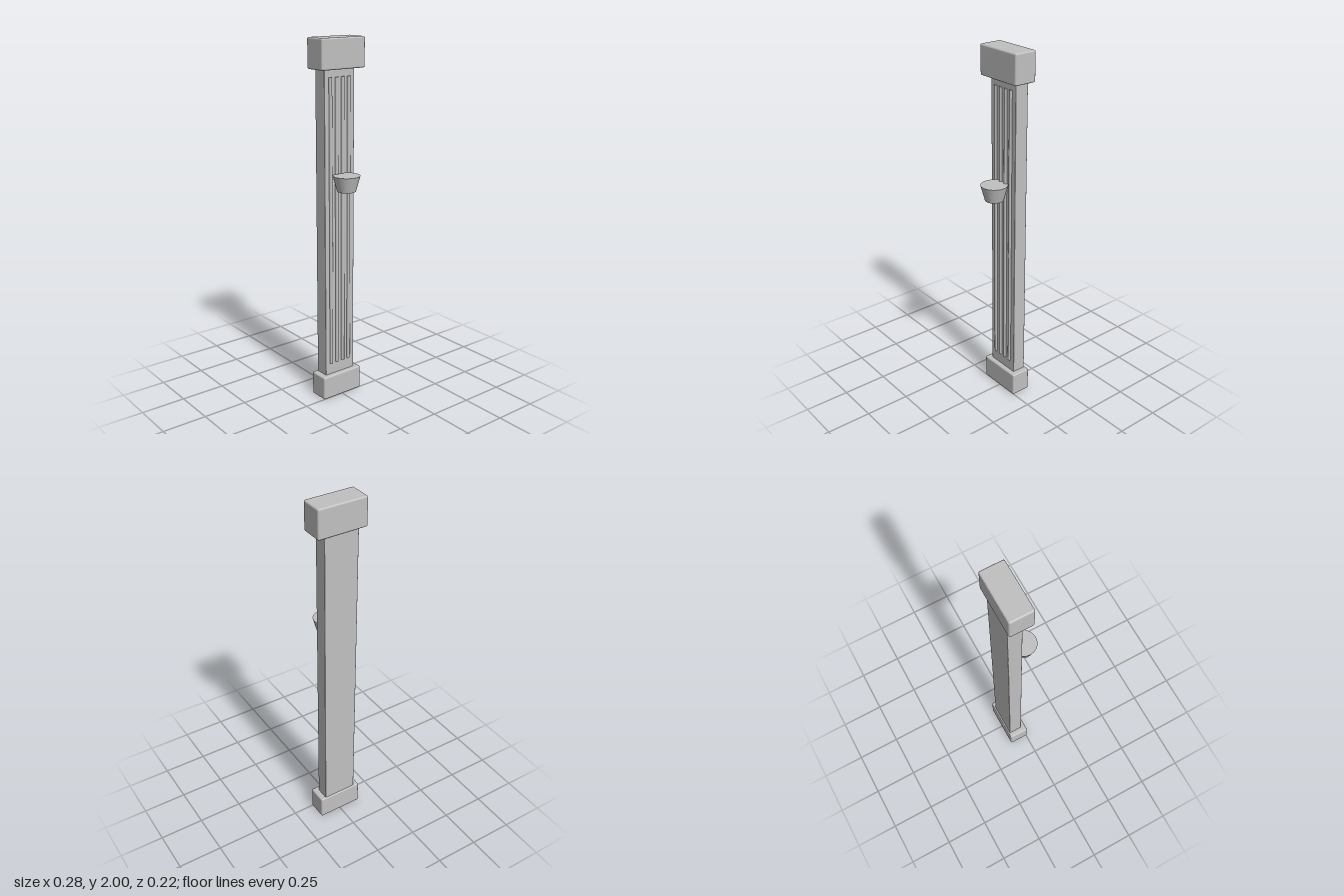
import * as THREE from 'three';
import { RoundedBoxGeometry } from 'three/addons/geometries/RoundedBoxGeometry.js';

export function createModel() {
  const group = new THREE.Group();
  group.name = 'pilaster';
  const stone = new THREE.MeshStandardMaterial({ color: 0xc0c0c0 });
  stone.name = 'grey stone';

  const add = (name, geometry, x, y, z) => {
    const mesh = new THREE.Mesh(geometry, stone);
    mesh.name = name;
    mesh.position.set(x, y, z);
    group.add(mesh);
  };
  // Softly bevelled block given by its extents
  const block = (name, halfWidth, y0, y1, z0, z1, bevel) => add(
    name,
    new RoundedBoxGeometry(2 * halfWidth, y1 - y0, z1 - z0, 2, bevel),
    0, (y0 + y1) / 2, (z0 + z1) / 2,
  );

  block('base', 0.13, 0, 0.135, -0.108, 0.006, 0.009);
  block('capital', 0.14, 1.84, 2, -0.113, 0.017, 0.009);
  block('shaft', 0.098, 0.12, 1.86, -0.1, -0.021, 0.004);

  // Four slim round ribs half sunk into the shaft front
  for (let i = 0; i < 4; i++) {
    add('rib', new THREE.CylinderGeometry(0.01, 0.01, 1.6, 16), -0.06 + i * 0.04, 1, -0.021);
  }

  // Tapered bowl set against the shaft
  add('sconce', new THREE.CylinderGeometry(0.073, 0.05, 0.085, 32), 0, 1.247, 0.039);

  return group;
}
